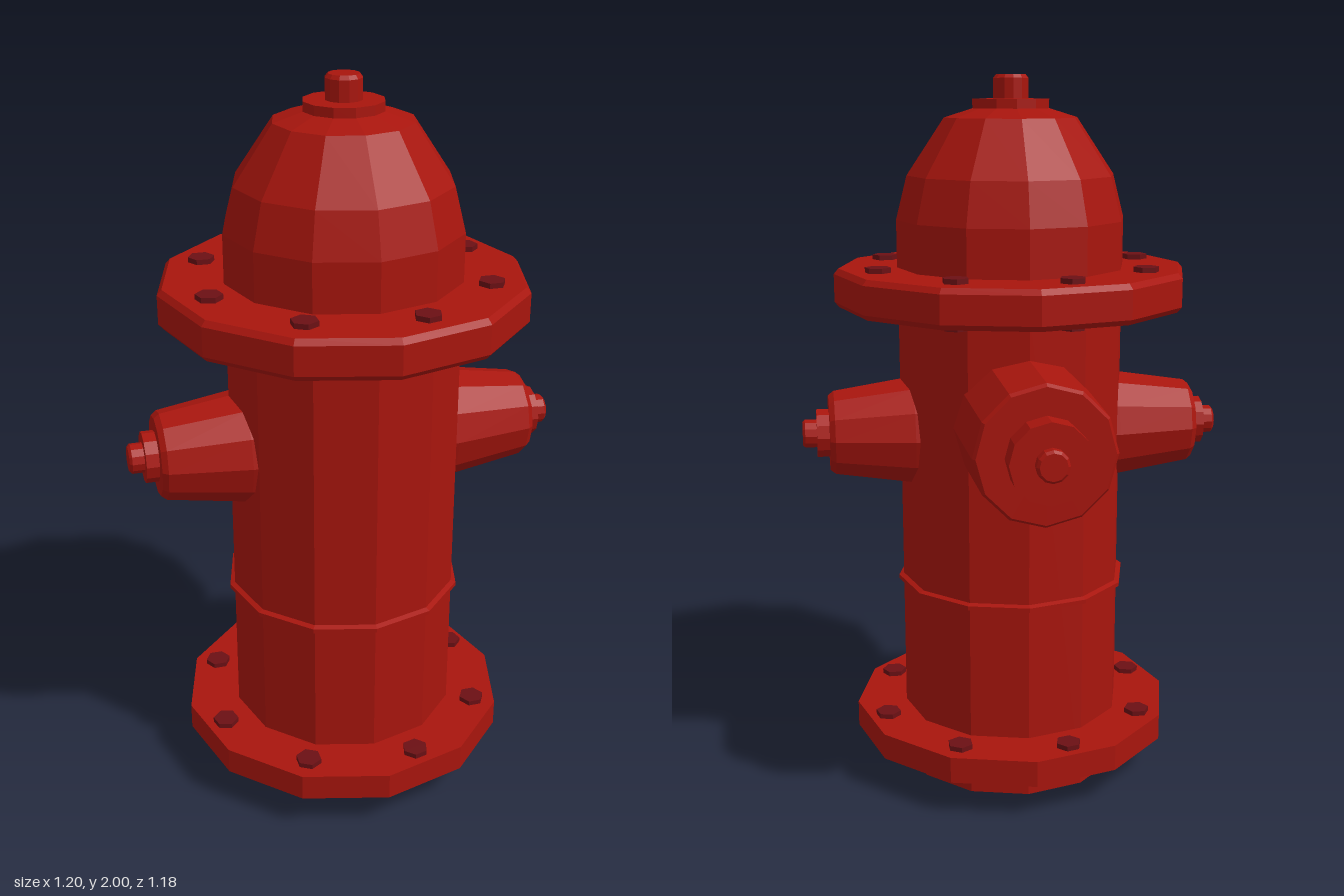
import * as THREE from 'three';

const SIDES = 12;
const AXIS_Z = 0.09; // the barrel stands forward of the centre to balance the rear outlet

const red = new THREE.MeshStandardMaterial({ color: 0xa8150d, flatShading: true });
const redOpen = new THREE.MeshStandardMaterial({ color: 0xa8150d, flatShading: true, side: THREE.DoubleSide });
const boltRed = new THREE.MeshStandardMaterial({ color: 0x6b1014, flatShading: true });

// Faceted solid of revolution; the profile is [radius, height] from bottom to top
function turned(name, profile, material = red) {
  const points = profile.map(([r, y]) => new THREE.Vector2(r, y));
  const mesh = new THREE.Mesh(new THREE.LatheGeometry(points, SIDES), material);
  mesh.name = name;
  return mesh;
}

// Circle of eight hexagonal bolt heads
function boltCircle(name, y, height) {
  const group = new THREE.Group();
  group.name = name;
  const geometry = new THREE.CylinderGeometry(0.036, 0.036, height, 6);
  for (let i = 0; i < 8; i++) {
    const angle = Math.PI / 6 + (i * Math.PI) / 4;
    const bolt = new THREE.Mesh(geometry, boltRed);
    bolt.name = 'bolt';
    bolt.position.set(0.395 * Math.cos(angle), y, 0.395 * Math.sin(angle));
    bolt.rotation.y = -angle;
    group.add(bolt);
  }
  return group;
}

// Side outlet, built upward along y and turned outward later
function sideOutlet(name) {
  const group = new THREE.Group();
  group.name = name;
  group.add(
    turned('outletCone', [[0.158, 0.26], [0.156, 0.29], [0.122, 0.51], [0.11, 0.525], [0, 0.525]]),
    turned('outletCap', [[0.07, 0.515], [0.07, 0.56], [0, 0.56]]),
    turned('outletNut', [[0.041, 0.555], [0.041, 0.593], [0.034, 0.6], [0, 0.6]])
  );
  group.position.y = 1.01;
  return group;
}

export function createModel() {
  const model = new THREE.Group();
  model.name = 'fireHydrant';
  const hydrant = new THREE.Group();
  hydrant.name = 'hydrantBody';
  hydrant.position.z = AXIS_Z;
  model.add(hydrant);

  // Barrel, open at the bottom, with its base flange and seam ring
  hydrant.add(
    turned('barrel', [[0.32, 0], [0.32, 1.4]], redOpen),
    turned('baseFlange', [[0.32, 0.1], [0.465, 0.1], [0.465, 0.175], [0.32, 0.175]]),
    turned('seamRing', [[0.32, 0.556], [0.334, 0.56], [0.334, 0.572], [0.32, 0.577]]),
    boltCircle('baseBolts', 0.178, 0.022)
  );

  // Upper flange with bolts through both faces
  hydrant.add(
    turned('topFlange', [
      [0.31, 1.37], [0.485, 1.37], [0.498, 1.385], [0.498, 1.463], [0.485, 1.478], [0.31, 1.478],
    ]),
    boltCircle('topFlangeBolts', 1.424, 0.136)
  );

  // Dome with washer and operating nut
  hydrant.add(
    turned('dome', [[0.322, 1.47], [0.322, 1.61], [0.291, 1.73], [0.186, 1.885], [0.105, 1.91], [0, 1.91]]),
    turned('domeWasher', [[0.107, 1.9], [0.107, 1.935], [0, 1.935]]),
    turned('operatingNut', [[0.049, 1.93], [0.049, 1.99], [0.041, 2], [0, 2]])
  );

  // Two side outlets
  for (const [name, side] of [['leftOutlet', 1], ['rightOutlet', -1]]) {
    const outlet = sideOutlet(name);
    outlet.rotation.z = (-side * Math.PI) / 2;
    hydrant.add(outlet);
  }

  // Large rear outlet
  const rear = new THREE.Group();
  rear.name = 'rearOutlet';
  rear.add(
    turned('rearOutletBarrel', [[0.197, 0.2], [0.195, 0.3], [0.188, 0.57], [0.18, 0.58], [0, 0.58]]),
    turned('rearOutletCap', [[0.107, 0.57], [0.107, 0.65], [0, 0.65]]),
    turned('rearOutletNut', [[0.043, 0.645], [0.043, 0.673], [0.036, 0.68], [0, 0.68]])
  );
  rear.position.y = 1.07;
  rear.rotation.x = -Math.PI / 2;
  hydrant.add(rear);

  return model;
}
